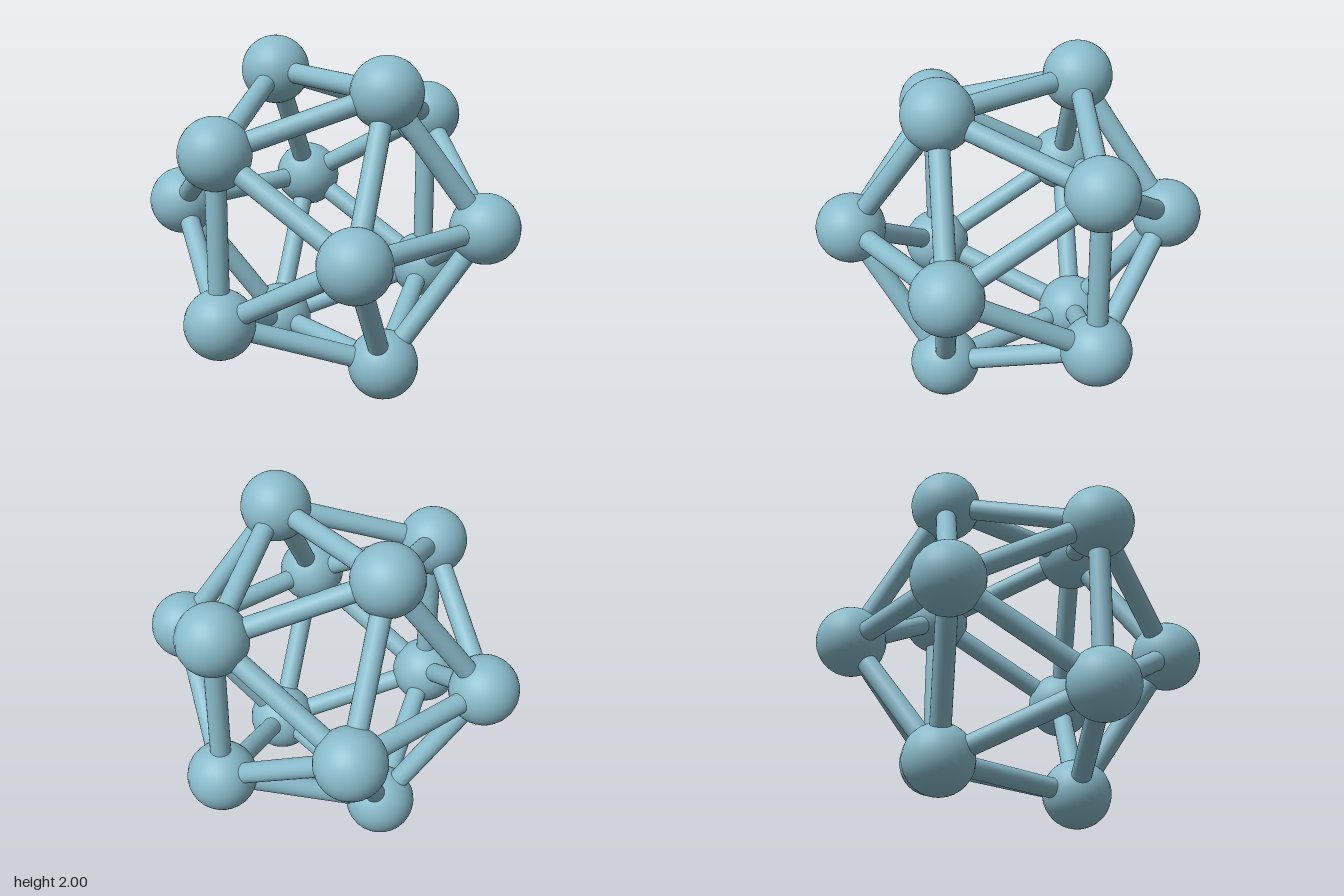
import * as THREE from 'three';

export function createModel() {
  const model = new THREE.Group();
  model.name = 'icosahedronFrame';
  const paleBlue = new THREE.MeshStandardMaterial({ color: 0x8abccc });
  paleBlue.name = 'paleBlue';

  const ballRadius = 0.204, rodRadius = 0.06;
  const long = 1 - ballRadius;                 // three golden rectangles
  const short = long / ((1 + Math.sqrt(5)) / 2);
  const edge = 2 * short;

  // Corner positions, centred at y = 1
  const corners = [];
  for (const a of [-1, 1]) for (const b of [-1, 1]) {
    corners.push(
      new THREE.Vector3(a * short, 1, b * long),
      new THREE.Vector3(a * long, 1 + b * short, 0),
      new THREE.Vector3(0, 1 + a * long, b * short),
    );
  }

  // Balls at the corners
  const ballGeometry = new THREE.SphereGeometry(ballRadius, 24, 24);
  corners.forEach((p, i) => {
    const ball = new THREE.Mesh(ballGeometry, paleBlue);
    ball.name = `cornerBall${i + 1}`;
    ball.position.copy(p);
    model.add(ball);
  });

  // Rods between neighbouring corners, ends hidden inside the balls
  const rodGeometry = new THREE.CylinderGeometry(rodRadius, rodRadius, edge, 24, 1, false);
  const up = new THREE.Vector3(0, 1, 0);
  let count = 0;
  for (let i = 0; i < corners.length; i++) {
    for (let j = i + 1; j < corners.length; j++) {
      const direction = corners[j].clone().sub(corners[i]);
      if (direction.length() > edge * 1.1) continue;
      const rod = new THREE.Mesh(rodGeometry, paleBlue);
      rod.name = `edgeRod${++count}`;
      rod.position.addVectors(corners[i], corners[j]).multiplyScalar(0.5);
      rod.quaternion.setFromUnitVectors(up, direction.normalize());
      model.add(rod);
    }
  }
  return model;
}
